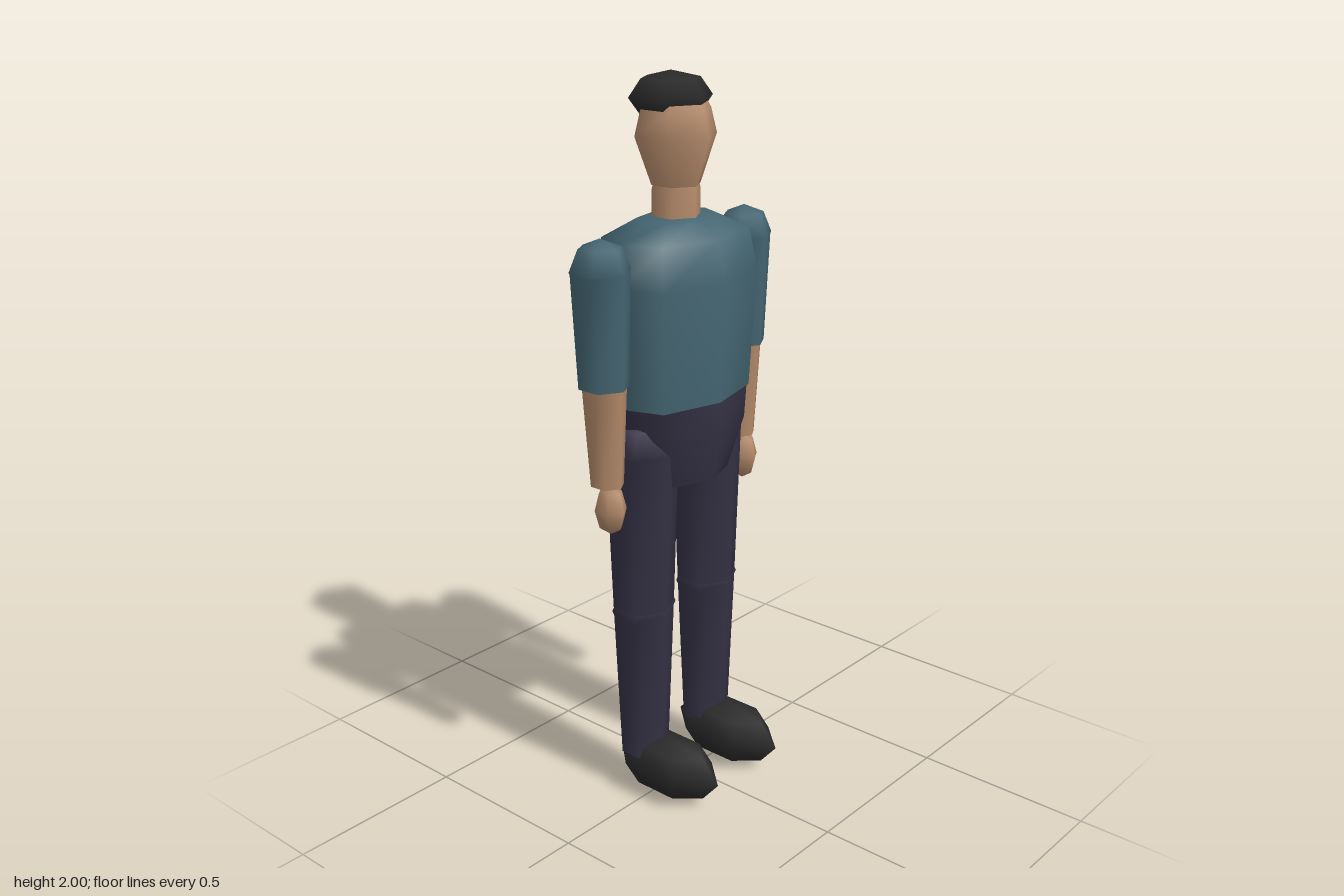
import * as THREE from 'three';
import { toCreasedNormals } from 'three/addons/utils/BufferGeometryUtils.js';

const CX = -0.047; // body axis; the figure looks along +x
const CZ = -0.003;

const material = (name, color) => {
  const m = new THREE.MeshStandardMaterial({ color });
  m.name = name;
  return m;
};

export function createModel() {
  const skin = material('skin', 0xb38a6a);
  const shirt = material('shirt teal', 0x446571);
  const trousers = material('trousers navy', 0x343144);
  const black = material('hair and shoe black', 0x2a2a2a);
  const model = new THREE.Group();
  model.name = 'figure';

  const add = (parent, name, geo, mat, x, y, z) => {
    const mesh = new THREE.Mesh(geo, mat);
    mesh.name = name;
    mesh.position.set(x, y, z);
    parent.add(mesh);
    return mesh;
  };

  // Stacked cross-sections [y, rx, rz, offsetX, offsetZ], listed from top to bottom
  const loft = (rings, sides, corner = 1) => {
    const geo = new THREE.CylinderGeometry(1, 1, 1, sides, rings.length - 1, false, Math.PI / 2);
    const p = geo.attributes.position;
    for (let i = 0; i < p.count; i++) {
      const row = Math.round((0.5 - p.getY(i)) * (rings.length - 1));
      const [y, rx, rz, ox = 0, oz = 0] = rings[row];
      const x = p.getX(i), z = p.getZ(i);
      const diagonal = Math.abs(x * z) > 0.1 ? corner : 1; // squarer shoulders and flanks
      p.setXYZ(i, x * rx + ox, y, z * rz * diagonal + oz);
    }
    return toCreasedNormals(geo, 1.2);
  };

  // Six-sided ball with corners on the x axis
  const ball = (rx, ry, rz) => new THREE.SphereGeometry(1, 6, 4).scale(rx, ry, rz);

  // Head
  const head = new THREE.Group();
  head.name = 'head';
  model.add(head);
  add(head, 'face', loft([[1.95, 0.07, 0.07], [1.905, 0.095, 0.095], [1.84, 0.111, 0.111],
    [1.715, 0.068, 0.066]], 6), skin, CX, 0, CZ);
  add(head, 'hair', ball(0.112, 0.065, 0.114), black, -0.064, 1.935, CZ);
  add(head, 'neck', loft([[1.73, 0.06, 0.06], [1.70, 0.066, 0.068], [1.6, 0.065, 0.068]], 6), skin, CX, 0, CZ);

  // Torso and hips
  add(model, 'torso', loft([[1.635, 0.072, 0.115], [1.59, 0.147, 0.21], [1.48, 0.172, 0.228],
    [1.155, 0.153, 0.212]], 8, 1.16), shirt, CX, 0, CZ);
  add(model, 'hips', loft([[1.157, 0.152, 0.21], [1.07, 0.158, 0.192], [0.93, 0.125, 0.138]], 8, 1.12),
    trousers, CX, 0, CZ);

  for (const [side, s] of [['left', 1], ['right', -1]]) {
    // Arm
    const arm = new THREE.Group();
    arm.name = side + 'Arm';
    arm.position.set(CX, 0, s * 0.283 + CZ + 0.003);
    model.add(arm);
    add(arm, 'shoulder', ball(0.081, 0.08, 0.081), shirt, 0, 1.54, 0);
    add(arm, 'upperArm', loft([[1.54, 0.08, 0.078], [1.235, 0.068, 0.068, 0, -s * 0.006]], 6), shirt, 0, 0, 0);
    add(arm, 'forearm', loft([[1.25, 0.062, 0.06, 0, -s * 0.007], [0.965, 0.048, 0.043, 0, -s * 0.011]], 6),
      skin, 0, 0, 0);
    add(arm, 'hand', ball(0.047, 0.07, 0.042), skin, 0.012, 0.9, -s * 0.009);

    // Leg
    const leg = new THREE.Group();
    leg.name = side + 'Leg';
    leg.position.set(CX, 0, s * 0.133 + 0.003);
    model.add(leg);
    add(leg, 'hipJoint', ball(0.1, 0.09, 0.103), trousers, 0, 1.03, 0);
    add(leg, 'thigh', loft([[1.03, 0.1, 0.104], [0.565, 0.082, 0.09]], 6), trousers, 0, 0, 0);
    add(leg, 'knee', ball(0.085, 0.08, 0.096), trousers, 0, 0.565, 0);
    add(leg, 'shin', loft([[0.565, 0.082, 0.09], [0.12, 0.064, 0.072]], 6), trousers, 0, 0, 0);
    add(leg, 'shoe', ball(0.182, 0.088, 0.094), black, 0.08, 0.092, -s * 0.003 - 0.006);
  }
  return model;
}
